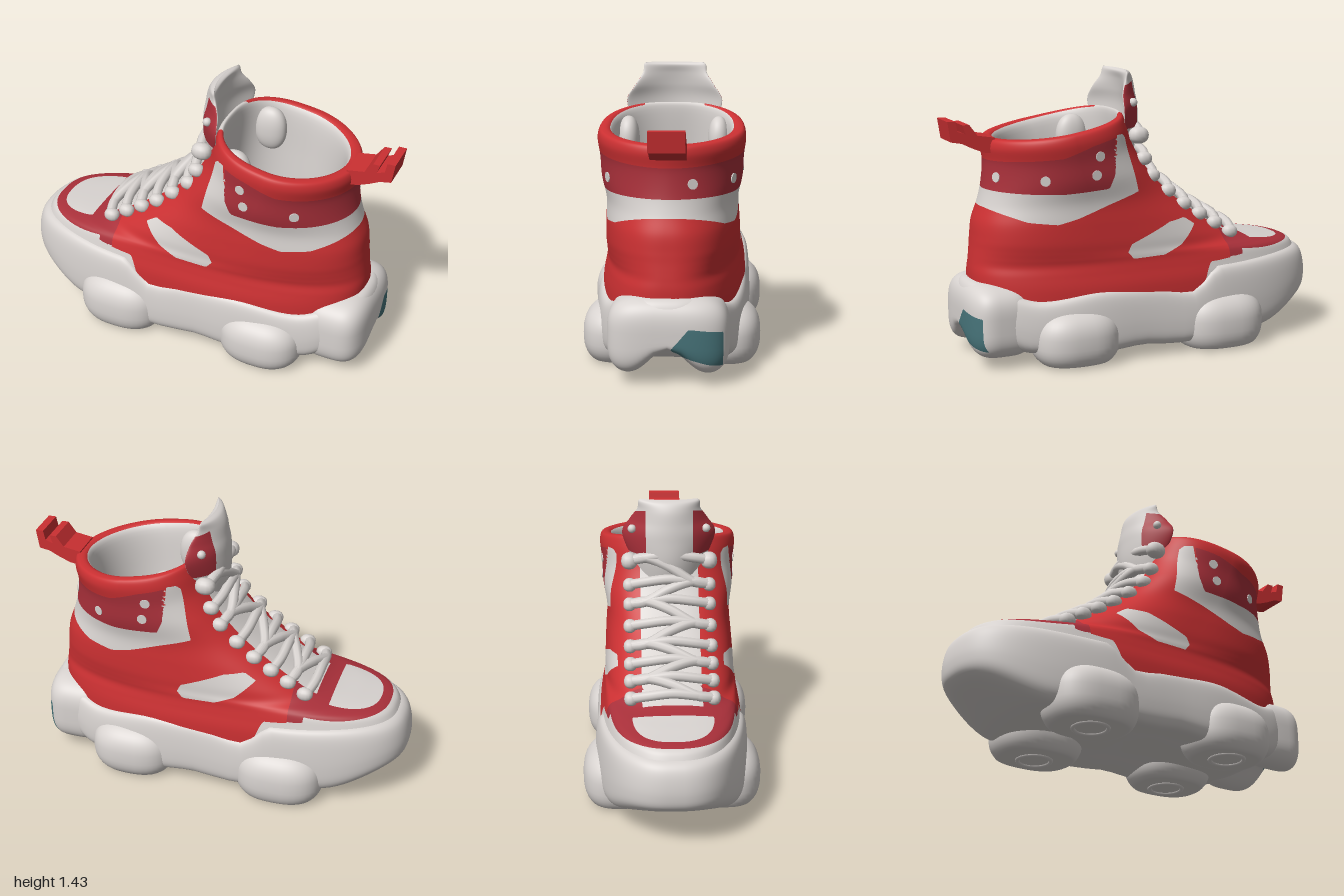
import * as THREE from 'three';

const mat = (name, color) => Object.assign(new THREE.MeshStandardMaterial({ color }), { name });
const white = mat('offWhite', 0xd8d3d0);
const red = mat('red', 0xcb3032);
const darkRed = mat('darkRed', 0xa9303a);
const teal = mat('teal', 0x47747a);
const insole = mat('insoleTaupe', 0x686056);
const palette = [white, red, darkRed, teal, insole];
const WHITE = 0, RED = 1, DARK = 2, TEAL = 3, INSOLE = 4;

const { lerp } = THREE.MathUtils;
const spow = (v, e) => Math.sign(v) * Math.pow(Math.abs(v), e);

// Smooth interpolation through the rows of a table, t measured in rows
function sample(table, t) {
  const last = table.length - 1;
  const i = Math.min(Math.floor(t), last - 1), f = t - i;
  const row = k => table[Math.max(0, Math.min(last, k))];
  return table[i].map((p1, c) => {
    const p0 = row(i - 1)[c], p2 = row(i + 1)[c], p3 = row(i + 2)[c];
    return p1 + 0.5 * f * (p2 - p0 + f * (2 * p0 - 5 * p1 + 4 * p2 - p3 + f * (3 * (p1 - p2) + p3 - p0)));
  });
}

// Eased height along a list of [x, value] points
function along(pts, x) {
  if (x <= pts[0][0]) return pts[0][1];
  for (let i = 1; i < pts.length; i++) {
    if (x <= pts[i][0]) {
      const f = (x - pts[i - 1][0]) / (pts[i][0] - pts[i - 1][0]);
      return lerp(pts[i - 1][1], pts[i][1], f * f * (3 - 2 * f));
    }
  }
  return pts[pts.length - 1][1];
}

function inside(poly, x, y) {
  let hit = false;
  for (let i = 0, j = poly.length - 1; i < poly.length; j = i++) {
    const [ax, ay] = poly[i], [bx, by] = poly[j];
    if ((ay > y) !== (by > y) && x < ((bx - ax) * (y - ay)) / (by - ay) + ax) hit = !hit;
  }
  return hit;
}

// Closed rings stacked in rows; fn(angle, v) gives a point; faces are cut where the rule's colour changes
function loft(rows, cols, fn, rule = () => WHITE) {
  const pos = [], vs = [], tris = [], faces = palette.map(() => []);
  for (let r = 0; r <= rows; r++) {
    for (let c = 0; c < cols; c++) {
      pos.push(...fn((c / cols) * Math.PI * 2, r / rows));
      vs.push(r / rows);
      const a = r * cols + c, b = r * cols + ((c + 1) % cols);
      if (r < rows) tris.push([a, b, a + cols], [b, b + cols, a + cols]);
    }
  }
  const geo = new THREE.BufferGeometry();
  geo.setAttribute('position', new THREE.Float32BufferAttribute(pos, 3));
  geo.setIndex(tris.flat());
  geo.computeVertexNormals();
  const nor = Array.from(geo.attributes.normal.array);
  const mix = (arr, i, j, f) => [0, 1, 2].map(k => lerp(arr[i * 3 + k], arr[j * 3 + k], f));
  const colours = vs.map((v, i) => rule(...mix(pos, i, i, 0), v));
  const cut = (i, j) => {
    let lo = 0, hi = 1;
    for (let n = 0; n < 8; n++) {
      const f = (lo + hi) / 2;
      if (rule(...mix(pos, i, j, f), lerp(vs[i], vs[j], f)) === colours[i]) lo = f; else hi = f;
    }
    pos.push(...mix(pos, i, j, lo));
    nor.push(...mix(nor, i, j, lo));
    return pos.length / 3 - 1;
  };
  for (const [a, b, c] of tris) {
    const lone = [[a, b, c], [b, c, a], [c, a, b]].find(t => colours[t[0]] !== colours[t[1]] && colours[t[1]] === colours[t[2]]);
    if (!lone) { faces[colours[a]].push(a, b, c); continue; }
    const [i, j, k] = lone, p = cut(i, j), q = cut(i, k);
    faces[colours[i]].push(i, p, q);
    faces[colours[j]].push(p, j, k, p, k, q);
  }
  geo.setAttribute('position', new THREE.Float32BufferAttribute(pos, 3));
  geo.setAttribute('normal', new THREE.Float32BufferAttribute(nor, 3));
  geo.setIndex(faces.flat());
  let start = 0;
  faces.forEach((f, k) => { if (f.length) geo.addGroup(start, f.length, k); start += f.length; });
  return geo;
}

// Rounded block with optional bend of its points
function blob([cx, cy, cz], [rx, ry, rz], e, rows = 30, cols = 44, warp = (y, z) => y, rule) {
  return loft(rows, cols, (a, v) => {
    const p = (v - 0.5) * Math.PI, h = spow(Math.cos(p), e);
    const x = -rx * h * spow(Math.cos(a), e), z = rz * h * spow(Math.sin(a), e);
    return [cx + x, cy + warp(ry * spow(Math.sin(p), e), z), cz + z];
  }, rule);
}

// Upper rings: front x, front y, back x, back y, half width, front and back squareness
const LEVELS = [
  [-0.96, 0.27, 0.88, 0.27, 0.365, 2.6, 2.5], [-0.955, 0.38, 0.88, 0.38, 0.362, 2.6, 2.5],
  [-0.93, 0.46, 0.88, 0.45, 0.348, 2.6, 2.5], [-0.885, 0.5, 0.875, 0.5, 0.34, 2.6, 2.4],
  [-0.75, 0.52, 0.87, 0.54, 0.338, 2.7, 2.4], [-0.57, 0.545, 0.865, 0.58, 0.335, 2.8, 2.4],
  [-0.45, 0.6, 0.86, 0.63, 0.335, 3, 2.4], [-0.3, 0.7, 0.85, 0.71, 0.33, 3, 2.3],
  [-0.15, 0.82, 0.82, 0.8, 0.325, 2.9, 2.1], [-0.03, 0.95, 0.8, 0.89, 0.345, 2.8, 1.9],
  [0.04, 1.07, 0.79, 1.0, 0.35, 2.6, 1.85], [0.08, 1.18, 0.8, 1.08, 0.36, 2.6, 1.85],
  [0.1, 1.23, 0.78, 1.12, 0.34, 2.6, 1.85], [0.12, 1.2, 0.72, 1.09, 0.285, 2.6, 1.9],
  [0.1, 0.95, 0.7, 0.85, 0.265, 2.5, 2], [0.07, 0.6, 0.73, 0.56, 0.24, 2.4, 2.2],
  [0.05, 0.46, 0.73, 0.46, 0.215, 2.4, 2.2], [0.4, 0.45, 0.4, 0.45, 0, 2.4, 2.2],
];
const TOP = LEVELS.length - 1;

const WINDOW = [[-0.24, 0.65], [-0.18, 0.69], [-0.08, 0.68], [0.14, 0.59], [0.16, 0.55], [0.13, 0.515], [-0.04, 0.52], [-0.14, 0.56]];
const ANKLE = [[0.15, 1.12], [0.17, 1.14], [0.21, 1.14], [0.23, 0.95], [0.26, 0.88], [0.5, 0.865], [1, 0.875],
  [1, 0.78], [0.82, 0.785], [0.66, 0.73], [0.52, 0.715], [0.42, 0.74], [0.25, 0.8], [0.09, 0.85]];
const PANEL = [[0.22, 1.13], [0.35, 1.1], [0.5, 1.045], [0.8, 1.015], [1, 1], [1, 0.875], [0.5, 0.865], [0.26, 0.88], [0.23, 0.95]];
const CAP = [[-0.92, 0.497], [-0.6, 0.483], [-0.31, 0.46], [-0.22, 0.29]];
const oval = (x, z, cx, a, b) => Math.abs((x - cx) / a) ** 2.5 + Math.abs(z / b) ** 2.5 < 1;

function upperColour(x, y, z, v) {
  const level = v * TOP;
  if (level > 15.3) return INSOLE;
  if (level > 12.7) return WHITE;
  if (x < -0.22 && y < along(CAP, x)) return WHITE;
  if (x < -0.5 && y < 0.54 && !oval(x, z, -0.3, 0.59, 0.315)) return WHITE;
  if (x < -0.605 && oval(x, z, -0.58, 0.26, 0.2)) return WHITE;
  if (x > -0.53 && x < 0.14 && Math.abs(z) < 0.15 && level > 5) return WHITE;
  if (inside(WINDOW, x, y) || inside(ANKLE, x, y)) return WHITE;
  return inside(PANEL, x, y) || x < -0.42 ? DARK : RED;
}

// Sole: bottom and top height along the length, and wall profile [scale, height]
const BOTTOM = [[-1, 0.19], [-0.6, 0.075], [-0.1, 0.05], [0.08, 0.065], [0.3, 0.05], [0.65, 0.07], [0.95, 0.2]];
const RIM = [[-1, 0.46], [-0.35, 0.43], [-0.18, 0.32], [0.05, 0.355], [0.3, 0.365], [0.6, 0.335], [0.93, 0.43]];
const WALL = [[0, 0.15], [0.35, 0.1], [0.6, 0.02], [0.87, 0], [0.975, 0.12], [1, 0.4], [0.985, 0.78], [0.945, 0.97], [0.86, 1.03]];

// Tongue rows: y, front x, half width, wrap depth, half thickness
const TONGUE = [[0.92, 0.05, 0.14, 0.05, 0.03], [1.1, 0.02, 0.19, 0.09, 0.04], [1.24, 0.015, 0.24, 0.12, 0.035],
  [1.32, 0.025, 0.2, 0.1, 0.035], [1.38, 0.035, 0.162, 0.06, 0.033], [1.42, 0.05, 0.157, 0.035, 0.025], [1.433, 0.055, 0.145, 0.03, 0]];

function tongueColour(x, y, z, v) {
  const [, front, w, d] = sample(TONGUE, v * (TONGUE.length - 1));
  const outer = x < front + d * (z / Math.max(w, 0.01)) ** 2 + 0.002;
  return outer && Math.abs(z) > 0.12 && y > 1.15 && y < 1.38 - (Math.abs(z) - 0.12) * 0.3 ? DARK : WHITE;
}

const PATCH = [[-0.015, 0.19], [-0.1, 0.29], [-0.26, 0.27], [-0.26, 0.1], [-0.19, 0.115], [-0.03, 0.165]];
const EYELETS = [[-0.49, 0.58], [-0.4, 0.635], [-0.31, 0.69], [-0.22, 0.75], [-0.13, 0.825], [-0.04, 0.91], [0.005, 1.0], [0.035, 1.12]];

export function createModel() {
  const shoe = new THREE.Group();
  const add = (name, geo, material = palette) => {
    const mesh = new THREE.Mesh(geo, material);
    mesh.name = name;
    shoe.add(mesh);
    return mesh;
  };

  // Upper with padded collar and lining
  const COLS = 160, STEPS = 7;
  const upper = loft(TOP * STEPS, COLS, (a, v) => {
    const [xf, yf, xb, yb, w, nf, nb] = sample(LEVELS, v * TOP);
    const e = 2 / (Math.cos(a) > 0 ? nf : nb), f = (1 - spow(Math.cos(a), e)) / 2;
    const sag = 0.015 * Math.sin(a) ** 2 * THREE.MathUtils.clamp(v * TOP - 9, 0, 1);
    return [lerp(xf, xb, f), lerp(yf, yb, f) - sag, w * spow(Math.sin(a), e)];
  }, upperColour);
  add('upper', upper);

  // Midsole and outsole
  add('sole', loft(56, 120, (a, v) => {
    const [s, h] = sample(WALL, v * (WALL.length - 1));
    const x = -0.03 - 0.97 * s * spow(Math.cos(a), 0.77);
    const pinch = 1 - 0.03 * Math.exp(-(((x - 0.05) / 0.2) ** 2));
    return [x, lerp(along(BOTTOM, x), along(RIM, x), h), 0.395 * s * pinch * spow(Math.sin(a), 0.77)];
  }));

  // Flat-bottomed cushion pods, round treads and ankle padding on both sides
  const flat = y => Math.max(y, -0.12);
  for (const side of [1, -1]) {
    add('frontPod', blob([-0.38, 0.13, side * 0.26], [0.235, 0.172, 0.19], 0.78, 30, 44, flat));
    add('rearPod', blob([0.42, 0.13, side * 0.255], [0.225, 0.162, 0.185], 0.78, 30, 44, flat));
    for (const x of [-0.38, 0.42]) {
      const tread = add('treadRing', new THREE.TorusGeometry(0.085, 0.012, 8, 28), white);
      tread.rotation.x = Math.PI / 2;
      tread.position.set(x, 0.012, side * 0.27);
    }
    add('anklePadding', blob([0.235, 1.06, side * 0.225], [0.085, 0.12, 0.055], 0.9));
  }

  // Heel bumper, arched underneath, with a coloured patch
  add('heelBumper', blob([0.775, 0.225, 0], [0.175, 0.2, 0.29], 0.58, 50, 80,
    (y, z) => y + (y < 0 ? -y * 0.75 * Math.exp(-((z / 0.12) ** 2)) : 0),
    (x, y, z) => (x > 0.78 && inside(PATCH, z, y) ? TEAL : WHITE)));

  // Tongue with coloured edges
  add('tongue', loft(50, 80, (a, v) => {
    const [y, x, w, d, th] = sample(TONGUE, v * (TONGUE.length - 1));
    return [x + d * Math.cos(a) ** 2 - th * Math.sin(a), y, -w * Math.cos(a)];
  }, tongueColour));

  // Laces: straight runs, diagonals and end loops
  const lace = (p, q) => {
    const mid = new THREE.Vector3((p[0] + q[0]) / 2 - 0.025, (p[1] + q[1]) / 2 + 0.035, 0);
    const pt = (e, z, lift) => new THREE.Vector3(e[0] - lift, e[1] + lift, z);
    const path = new THREE.CatmullRomCurve3([pt(p, 0.2, 0), pt(p, 0.12, 0.02), mid, pt(q, -0.12, 0.02), pt(q, -0.2, 0)]);
    add('lace', new THREE.TubeGeometry(path, 24, 0.026, 8), white);
  };
  EYELETS.forEach((p, i) => {
    const next = EYELETS[i + 1], size = next ? 1 : 1.25;
    lace(p, p);
    if (next) lace(...(i % 2 ? [next, p] : [p, next]));
    for (const side of [1, -1]) {
      add('laceLoop', blob([p[0] + 0.01, p[1] - 0.005, side * 0.205], [0.042 * size, 0.034 * size, 0.034 * size], 0.9, 10, 14));
    }
  });

  // Small studs laid on the upper at the closest surface point
  const pos = upper.attributes.position, nor = upper.attributes.normal;
  const point = new THREE.Vector3(), up = new THREE.Vector3(0, 1, 0);
  const stud = (x, y, z) => {
    const target = new THREE.Vector3(x, y, z);
    let best = 0, least = Infinity;
    for (let i = 0; i < COLS * STEPS * 11; i++) {
      const d = point.fromBufferAttribute(pos, i).distanceToSquared(target);
      if (d < least) { least = d; best = i; }
    }
    const disc = add('stud', new THREE.CylinderGeometry(0.025, 0.025, 0.009, 16), white);
    disc.position.fromBufferAttribute(pos, best);
    disc.quaternion.setFromUnitVectors(up, point.fromBufferAttribute(nor, best).normalize());
  };
  for (const side of [1, -1]) {
    for (const [x, y, z] of [[0.32, 1.04, 0.35], [0.34, 0.95, 0.35], [0.58, 0.935, 0.3]]) stud(x, y, side * z);
    const dot = add('tongueStud', new THREE.SphereGeometry(0.022, 12, 8), white);
    dot.position.set(0.068, 1.28, side * 0.19);
  }
  stud(0.8, 0.945, -0.12);

  // Heel pull loop
  const tab = new THREE.Shape([[0.75, 1.05], [0.82, 1.06], [0.88, 1.085], [0.93, 1.11], [0.985, 1.12], [1, 1.22], [0.96, 1.22],
    [0.95, 1.17], [0.91, 1.155], [0.925, 1.2], [0.89, 1.2], [0.85, 1.145], [0.76, 1.13]].map(p => new THREE.Vector2(...p)));
  add('pullLoop', new THREE.ExtrudeGeometry(tab, { depth: 0.17, bevelEnabled: false }), red).position.z = -0.085;

  return shoe;
}
